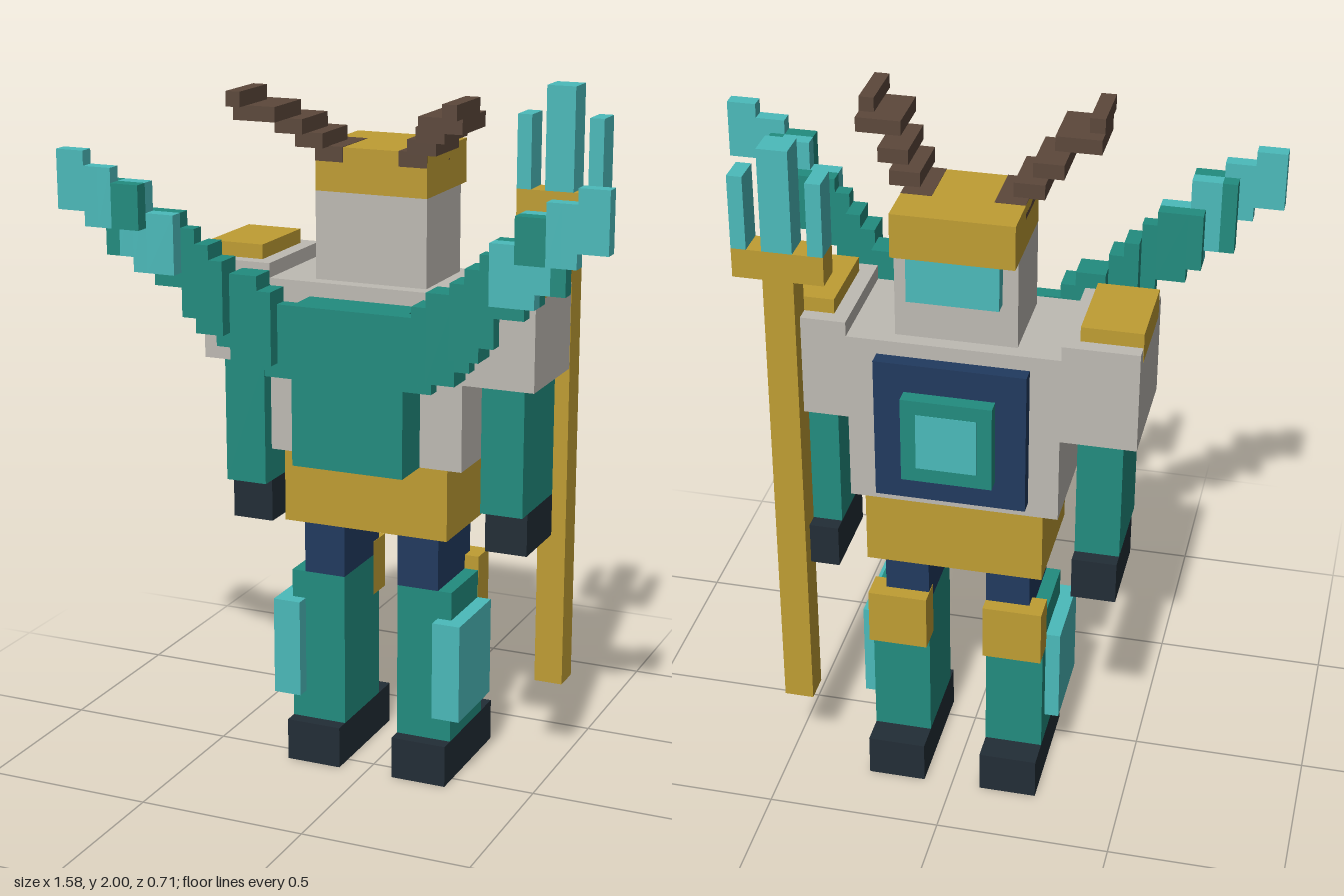
import * as THREE from 'three';

const U = 1 / 24; // one block

const mat = (name, color) => {
  const m = new THREE.MeshStandardMaterial({ color });
  m.name = name;
  return m;
};

export function createModel() {
  const teal = mat('teal', 0x228c7f), cyan = mat('cyan', 0x4bbaba);
  const gold = mat('gold', 0xbf9d33), grey = mat('pale grey', 0xbebab3);
  const navy = mat('navy', 0x213a5f), dark = mat('charcoal', 0x222d36);
  const brown = mat('brown', 0x5c483b);

  const model = new THREE.Group();
  model.name = 'armouredFigure';

  // Box from its limits, in blocks
  const box = (parent, name, m, x0, x1, y0, y1, z0, z1) => {
    const g = new THREE.BoxGeometry((x1 - x0) * U, (y1 - y0) * U, (z1 - z0) * U);
    const mesh = new THREE.Mesh(g, m);
    mesh.position.set((x0 + x1) / 2 * U, (y0 + y1) / 2 * U, (z0 + z1) / 2 * U);
    mesh.name = name;
    parent.add(mesh);
  };
  const group = (name, parent = model) => {
    const g = new THREE.Group();
    g.name = name;
    parent.add(g);
    return g;
  };

  // Body
  const body = group('body');
  box(body, 'belt', gold, -6, 6, 18, 23, -6.5, 1.5);
  box(body, 'torso', grey, -7, 7, 23, 35, -6.5, 1.5);
  box(body, 'backpack', teal, -4, 4, 23, 34, 1.5, 4.5);
  box(body, 'chestPlate', navy, -5, 5, 24, 34, -7.5, -6.5);
  box(body, 'chestFrame', teal, -3, 3, 26, 32, -8.5, -7.5);
  box(body, 'chestGem', cyan, -2, 2, 27, 31, -8.53, -8.4);

  // Head
  const head = group('head');
  box(head, 'face', grey, -4, 4, 35, 41, -5.5, 0.5);
  box(head, 'helmet', gold, -4, 4, 41, 44, -6.5, 0.5);
  box(head, 'visor', cyan, -3, 3, 38, 41, -6.5, -5.5);

  // Horn steps: x, y and z limits
  const hornSteps = [
    [2, 4, 43, 44.03, -3.5, 0.53],
    [3, 5, 44, 45, -2.5, 1.5],
    [4, 6, 45, 46, -1.5, 2.5],
    [5, 8, 46, 47, 0.5, 4.5],
    [7, 8, 47, 48, 1.5, 5.5],
  ];

  // Wing outline: x start, x end, bottom, top
  const wingColumns = [
    [4, 5, 29, 34], [5, 6, 29, 35], [6, 8, 30, 36], [8, 9, 31, 37],
    [9, 10, 32, 38], [10, 11, 33, 39], [11, 13, 35, 40], [13, 14, 36, 42],
    [14, 15, 37, 42], [15, 16, 37, 43], [16, 17, 39, 43], [17, 19, 40, 44],
  ];
  // Wing layers: x start, x end, bottom, top, back z, and colour by x
  const wingLayers = [
    [4, 8, 29, 36, 3.5, () => teal],
    [5, 10, 30, 38, 4.5, () => teal],
    [8, 14, 32, 40, 5.5, () => teal],
    [11, 16, 36, 42, 6.5, x => (x < 15 ? cyan : teal)],
    [13, 19, 39, 44, 7.5, x => (x < 15 ? teal : cyan)],
  ];

  // Paired parts
  for (const [side, s] of [['left', 1], ['right', -1]]) {
    const pair = (parent, name, m, x0, x1, ...rest) =>
      s > 0 ? box(parent, name, m, x0, x1, ...rest) : box(parent, name, m, -x1, -x0, ...rest);

    const leg = group(side + 'Leg');
    pair(leg, 'foot', dark, 2, 6, 0, 3, -7.5, 1.5);
    pair(leg, 'shin', teal, 2, 6, 3, 14, -5.5, 0.5);
    pair(leg, 'thigh', navy, 2, 5, 14, 18, -5.5, 0.5);
    pair(leg, 'calfPlate', cyan, 5, 7, 5, 12, -4.5, 1.5);
    pair(leg, 'kneeGuard', gold, 1.97, 6.03, 11, 15, -6.5, -4.5);

    const arm = group(side + 'Arm');
    pair(arm, 'shoulder', grey, 7, 12, 29, 36, -6.5, 1.5);
    pair(arm, 'shoulderPad', gold, 8, 12.03, 35, 37, -5.5, 0.5);
    pair(arm, 'sleeve', teal, 8, 11, 20, 29, -5.5, 0.5);
    pair(arm, 'hand', dark, 8, 11, 17, 20, -6.5, -0.5);

    const horn = group(side + 'Horn', head);
    for (const step of hornSteps) pair(horn, 'hornStep', brown, ...step);

    const wing = group(side + 'Wing');
    for (const [a, b, low, high, z, colour] of wingLayers) {
      for (const [x0, x1, bottom, top] of wingColumns) {
        const y0 = Math.max(bottom, low), y1 = Math.min(top, high);
        if (x0 < a || x1 > b || y1 <= y0) continue;
        pair(wing, 'wingFeather', colour(x0), x0, x1, y0, y1, z, z + 1);
      }
    }
  }

  // Trident on the left side
  const trident = group('trident');
  box(trident, 'staff', gold, 10, 12.03, 6, 39, -7.5, -5.5);
  box(trident, 'crossbar', gold, 8, 14, 39, 41, -7.5, -5.5);
  for (const [x0, x1, top] of [[8, 9, 46], [10, 12, 48], [13, 14, 46]]) {
    box(trident, 'prong', cyan, x0, x1, 41, top, -7.5, -5.5);
  }

  return model;
}
